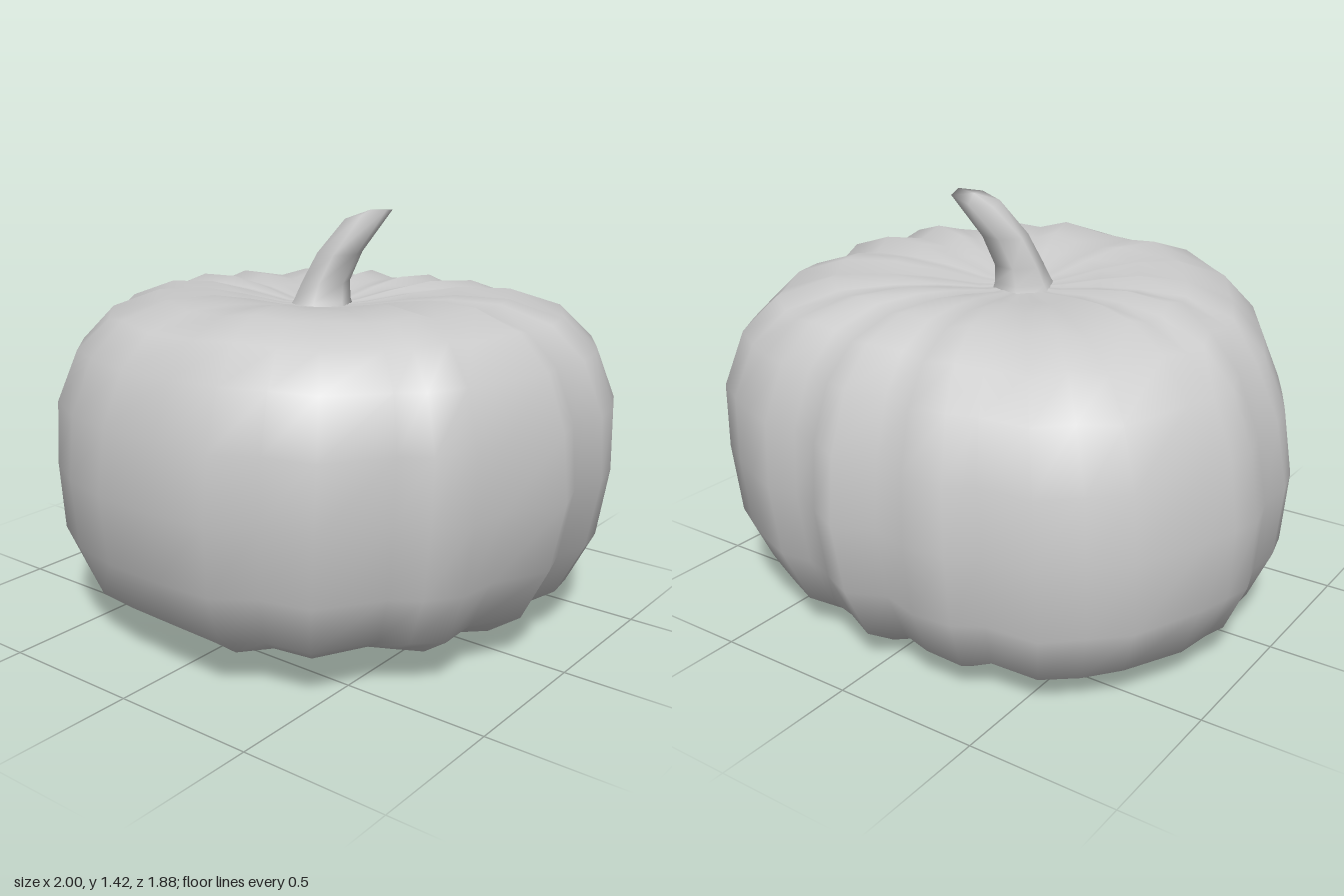
import * as THREE from 'three';

// Widest outline seen from above, as x, z pairs
const OUTLINE = [
  1.0, 0.05, 0.9, 0.26, 0.89, 0.41, 0.81, 0.52, 0.72, 0.58, 0.59, 0.79, 0.42, 0.83,
  0.29, 0.925, 0.07, 0.935, -0.17, 0.91, -0.37, 0.85, -0.57, 0.73, -0.69, 0.59,
  -0.8, 0.43, -0.88, 0.3, -0.95, 0.18, -0.98, 0.07, -0.97, -0.06, -1.0, -0.18,
  -0.97, -0.27, -0.93, -0.385, -0.82, -0.61, -0.71, -0.71, -0.6, -0.81, -0.42, -0.83,
  -0.33, -0.89, -0.19, -0.91, -0.06, -0.88, 0.07, -0.94, 0.185, -0.89, 0.3, -0.85,
  0.41, -0.865, 0.53, -0.82, 0.64, -0.77, 0.75, -0.71, 0.85, -0.56, 0.93, -0.4,
  0.97, -0.25, 0.945, -0.11,
];

// Side profile: fraction of the outline, height, rib fold depth, fullness on the diagonals
const PROFILE = [
  [0, 0.125, 0, 0], [0.2, 0.1, 0.004, 0], [0.45, 0.055, 0.013, 0], [0.62, 0.05, 0.018, 0],
  [0.75, 0.075, 0.015, 0.02], [0.87, 0.15, 0.008, 0.03], [0.96, 0.33, 0, 0.02],
  [1, 0.57, 0, 0], [0.965, 0.79, 0, 0.03], [0.89, 0.97, 0.006, 0.035],
  [0.78, 1.08, 0.012, 0.03], [0.62, 1.135, 0.015, 0.01], [0.45, 1.14, 0.015, 0],
  [0.3, 1.125, 0.007, 0], [0.15, 1.1, 0.002, 0], [0, 1.09, 0, 0],
];

// Skin closed rings of points, listed from bottom to top, running from +x to +z
function loft(rings) {
  const n = rings[0].length, index = [];
  for (let i = 0; i < rings.length - 1; i++) {
    for (let j = 0; j < n; j++) {
      const k = (j + 1) % n;
      const a = i * n + j, b = i * n + k, c = a + n, d = b + n;
      index.push(a, c, b, b, c, d);
    }
  }
  const g = new THREE.BufferGeometry().setFromPoints(rings.flat());
  g.setIndex(index);
  g.computeVertexNormals();
  return g;
}

function bodyGeometry() {
  const rings = PROFILE.map(([t, h, fold, full]) => {
    const ring = [];
    const rise = h - 0.57, out = Math.sign(rise);
    for (let j = 0; j < OUTLINE.length; j += 2) {
      const angle = Math.atan2(OUTLINE[j + 1], OUTLINE[j]);
      const s = t * (1 + full * Math.abs(Math.sin(2 * angle)));
      const x = OUTLINE[j] * s, z = OUTLINE[j + 1] * s;
      const rib = Math.cos(16 * (angle - 0.05));
      // slight lean and tilt make the fruit uneven
      ring.push(new THREE.Vector3(
        x + 0.06 * rise * t,
        h + out * fold * rib + 0.025 * x + 0.045 * z,
        z + 0.02 * rise * t,
      ));
    }
    return ring;
  });
  const g = loft(rings);
  g.computeBoundingBox();
  return g.translate(0, -g.boundingBox.min.y, 0);
}

function stemGeometry() {
  // centre x, y, z, radius, slope of the ring towards +x
  const sections = [
    [-0.01, 1.05, 0.0, 0.13, 0], [-0.005, 1.11, -0.01, 0.1, 0], [0, 1.17, -0.025, 0.085, 0],
    [0.04, 1.27, -0.05, 0.08, 0], [0.115, 1.4, -0.115, 0.084, 0.25],
    [0.12, 1.415, -0.115, 0, 0],
  ];
  return loft(sections.map(([x, y, z, r, slope]) => {
    const ring = [];
    for (let j = 0; j < 6; j++) {
      const a = 0.17 + (j / 6) * Math.PI * 2;
      const dx = Math.cos(a) * r, dz = Math.sin(a) * r;
      ring.push(new THREE.Vector3(x + dx, y + slope * dx, z + dz));
    }
    return ring;
  }));
}

export function createModel() {
  const group = new THREE.Group();
  group.name = 'pumpkin';
  const material = new THREE.MeshStandardMaterial({ color: 0xcccccc });
  const add = (name, geometry) => {
    const mesh = new THREE.Mesh(geometry, material);
    mesh.name = name;
    group.add(mesh);
  };
  add('ribbedBody', bodyGeometry());
  add('stem', stemGeometry());
  return group;
}
